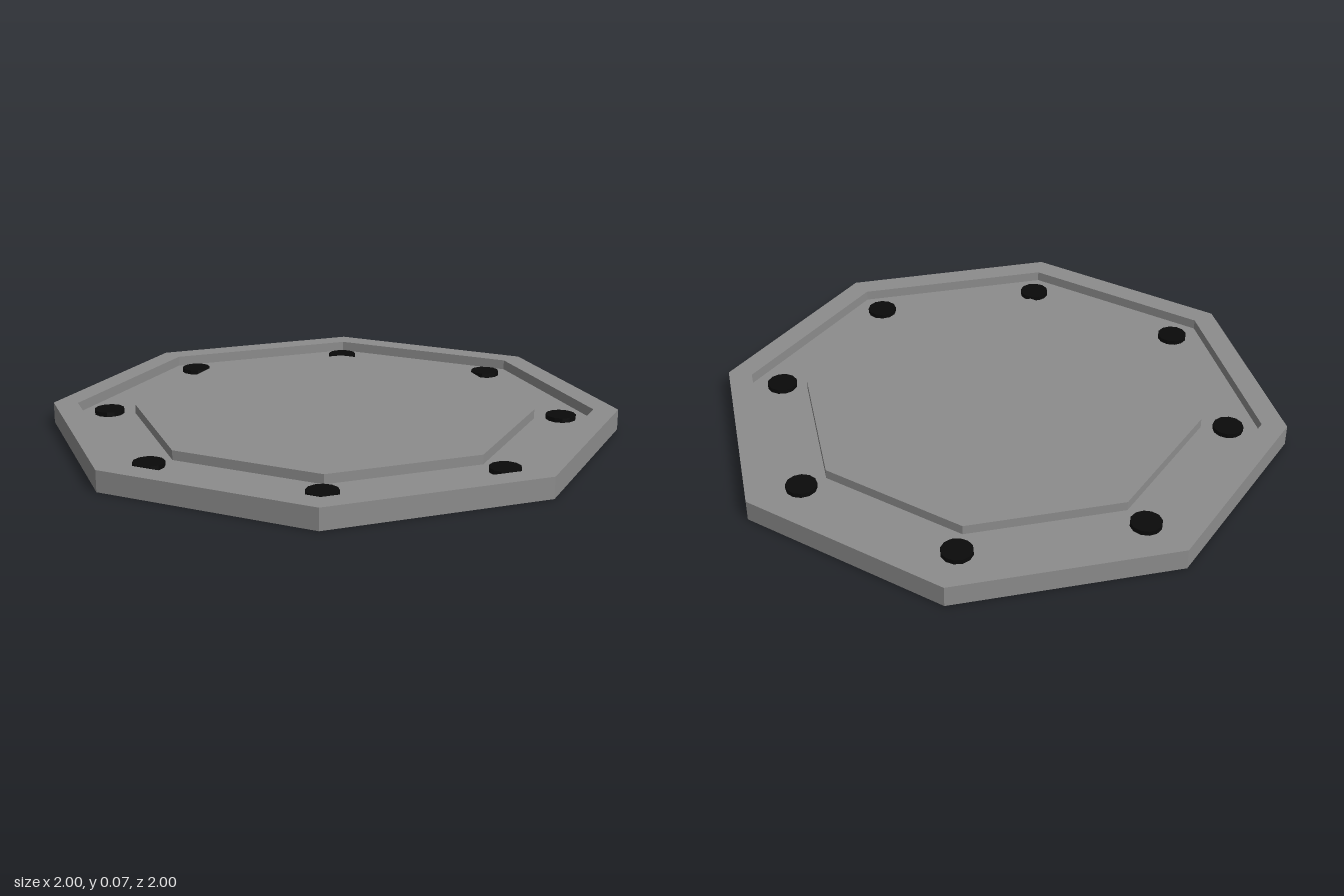
import * as THREE from 'three';

const SIDES = 8;
const HEIGHT = 0.073;
const FLOOR = 0.037;
const CENTRE_TOP = 0.07;

export function createModel() {
  const plateGrey = new THREE.MeshStandardMaterial({ color: 0x8c8c8c, flatShading: true, side: THREE.DoubleSide });
  plateGrey.name = 'plateGrey';
  const boltBlack = new THREE.MeshStandardMaterial({ color: 0x0a0a0a, flatShading: true });
  boltBlack.name = 'boltBlack';

  const model = new THREE.Group();
  model.name = 'octagonalCover';

  // An eight-sided shell, open underneath, with a corner on each axis
  const addShell = (name, profile) => {
    const points = profile.map(([r, y]) => new THREE.Vector2(r, y));
    const mesh = new THREE.Mesh(new THREE.LatheGeometry(points, SIDES), plateGrey);
    mesh.name = name;
    model.add(mesh);
  };
  addShell('outerRim', [[1, 0], [1, HEIGHT], [0.913, HEIGHT], [0.913, FLOOR]]);
  addShell('boltChannel', [[0.913, FLOOR], [0.707, FLOOR]]);
  addShell('centrePlate', [[0.707, FLOOR], [0.707, CENTRE_TOP], [0, CENTRE_TOP]]);

  // Bolt heads resting on the channel floor, one towards each corner
  const boltHeight = 0.016;
  const boltGeometry = new THREE.CylinderGeometry(0.053, 0.053, boltHeight, 12);
  for (let i = 0; i < SIDES; i++) {
    const angle = (i / SIDES) * Math.PI * 2;
    const bolt = new THREE.Mesh(boltGeometry, boltBlack);
    bolt.name = `bolt${i + 1}`;
    bolt.position.set(Math.sin(angle) * 0.8, FLOOR + boltHeight / 2 + 0.001, Math.cos(angle) * 0.8);
    bolt.rotation.y = angle;
    model.add(bolt);
  }
  return model;
}
